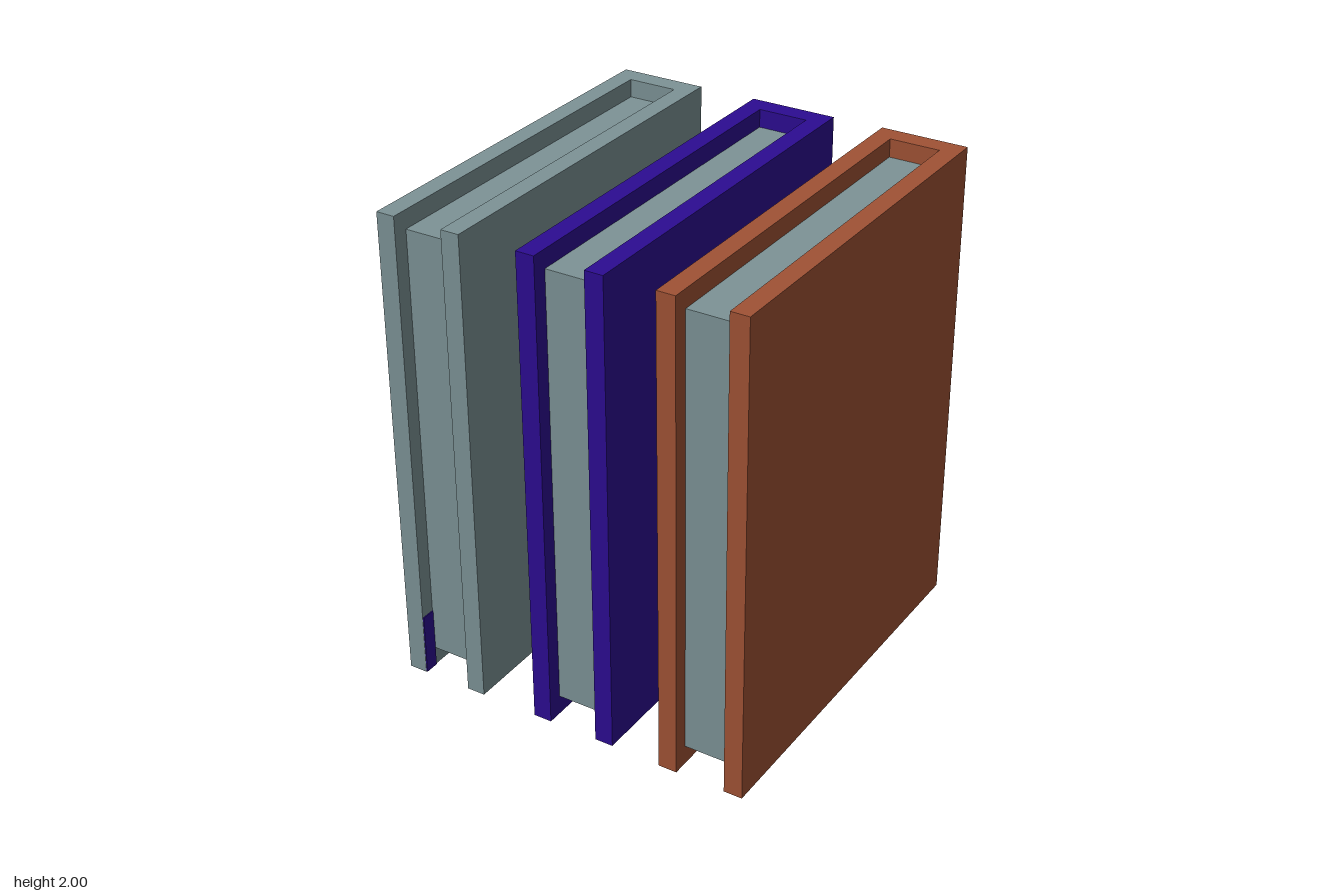
import * as THREE from 'three';

const material = (name, color) => {
  const m = new THREE.MeshStandardMaterial({ color });
  m.name = name;
  return m;
};

export function createModel() {
  const grey = material('grey', 0x7d9396);
  const violet = material('violet', 0x2c0c92);
  const rust = material('rust', 0xa05235);
  const model = new THREE.Group();
  model.name = 'books';

  const add = (parent, name, geometry, mat, x, y, z) => {
    const mesh = new THREE.Mesh(geometry, mat);
    mesh.name = name;
    mesh.position.set(x, y, z);
    parent.add(mesh);
  };

  // U-shaped cover outline seen from above (shape y is -z), spine at the back
  const w = 0.18, inner = 0.103, d = 0.81, spine = 0.727;
  const outline = new THREE.Shape([
    [-w, -d], [-inner, -d], [-inner, spine], [inner, spine],
    [inner, -d], [w, -d], [w, d], [-w, d],
  ].map(([x, y]) => new THREE.Vector2(x, y)));
  const coverGeometry = new THREE.ExtrudeGeometry(outline, { depth: 1.99, bevelEnabled: false });
  coverGeometry.rotateX(-Math.PI / 2);

  // Page block recessed at the top, bottom and front
  const pageGeometry = new THREE.BoxGeometry(inner * 2, 1.835, 0.747 + spine);

  const books = [
    ['greyBook', grey, -0.59, 0, -0.01],
    ['violetBook', violet, 0.012, 0, -0.01],
    ['rustBook', rust, 0.59, 0.01, 0.005],
  ];
  for (const [name, mat, x, y, z] of books) {
    const book = new THREE.Group();
    book.name = name;
    book.position.set(x, y, z);
    add(book, 'cover', coverGeometry, mat, 0, 0, 0);
    add(book, 'pages', pageGeometry, grey, 0, 0.998, (0.747 - spine) / 2);
    model.add(book);
  }

  // Small violet patch inside the front bottom corner of the grey cover
  add(model.children[0], 'cornerPatch', new THREE.BoxGeometry(0.004, 0.26, 0.06),
    violet, -inner + 0.002, 0.13, 0.778);

  return model;
}
